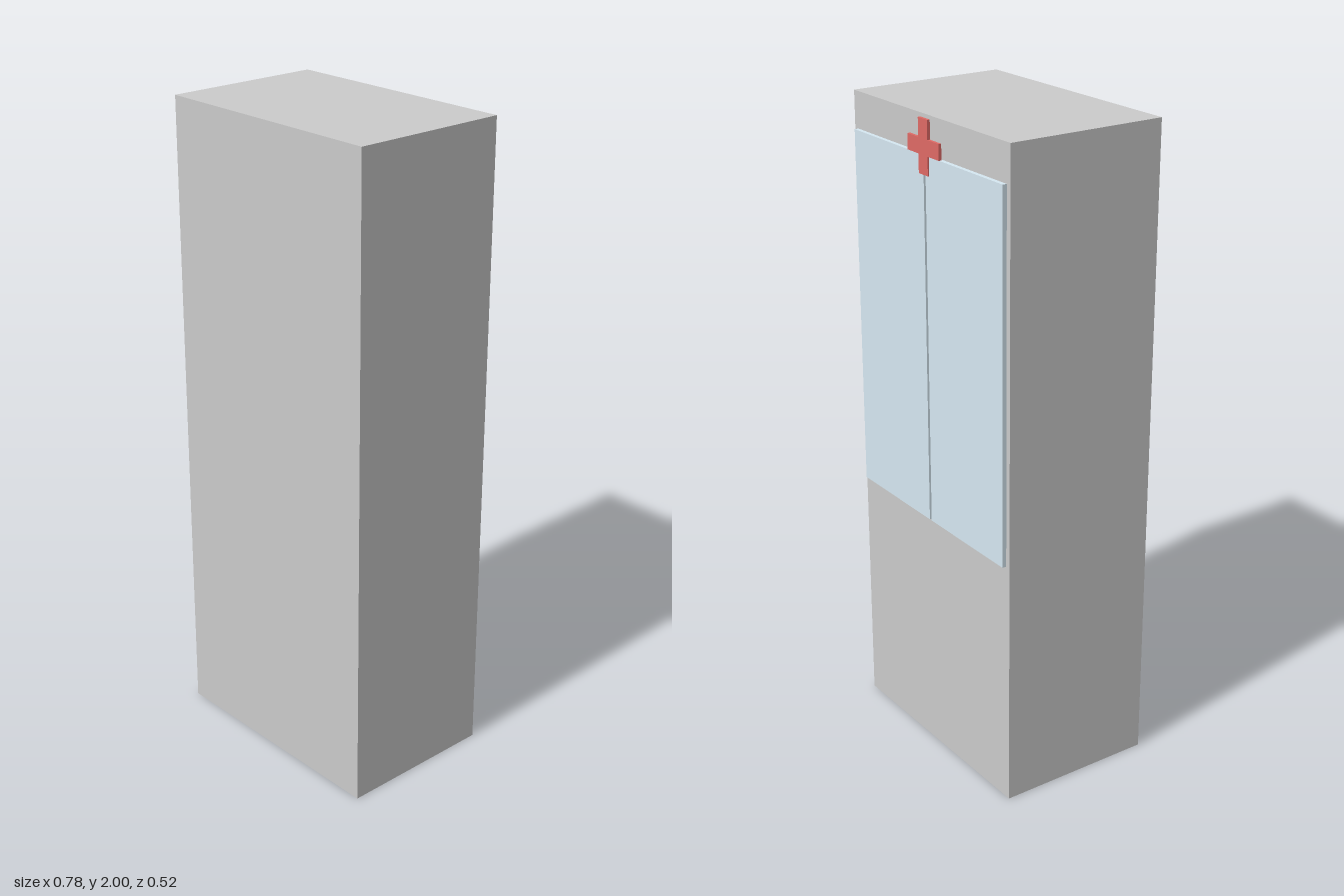
import * as THREE from 'three';

const material = (color) => new THREE.MeshStandardMaterial({ color });

// Box given by its extents along each axis
function box(name, [x0, x1], [y0, y1], [z0, z1], mat) {
  const mesh = new THREE.Mesh(new THREE.BoxGeometry(x1 - x0, y1 - y0, z1 - z0), mat);
  mesh.position.set((x0 + x1) / 2, (y0 + y1) / 2, (z0 + z1) / 2);
  mesh.name = name;
  return mesh;
}

// Plus-shaped outline, arm reach r and half width w
function crossShape(r, w) {
  const corners = [];
  for (let i = 0; i < 4; i++) {
    const a = (i * Math.PI) / 2;
    for (const [x, y] of [[r, -w], [r, w], [w, w]]) {
      corners.push(new THREE.Vector2(x, y).rotateAround(new THREE.Vector2(), a));
    }
  }
  return new THREE.Shape(corners);
}

export function createModel() {
  const model = new THREE.Group();
  model.name = 'medicineCabinet';

  // Cabinet body
  model.add(box('body', [-0.389, 0.389], [0, 2], [-0.242, 0.258], material(0xcccccc)));

  // Pair of glass doors on the back face, with a narrow gap between
  const glass = material(0xd6e8f2);
  model.add(box('rightDoor', [-0.373, -0.006], [0.78, 1.89], [-0.255, -0.242], glass));
  model.add(box('leftDoor', [0.004, 0.371], [0.78, 1.89], [-0.255, -0.242], glass));

  // Red cross emblem above the doors
  const cross = new THREE.Mesh(
    new THREE.ExtrudeGeometry(crossShape(0.078, 0.023), { depth: 0.009, bevelEnabled: false }),
    material(0xe06a66)
  );
  cross.position.set(-0.001, 1.914, -0.259);
  cross.name = 'cross';
  model.add(cross);

  return model;
}
